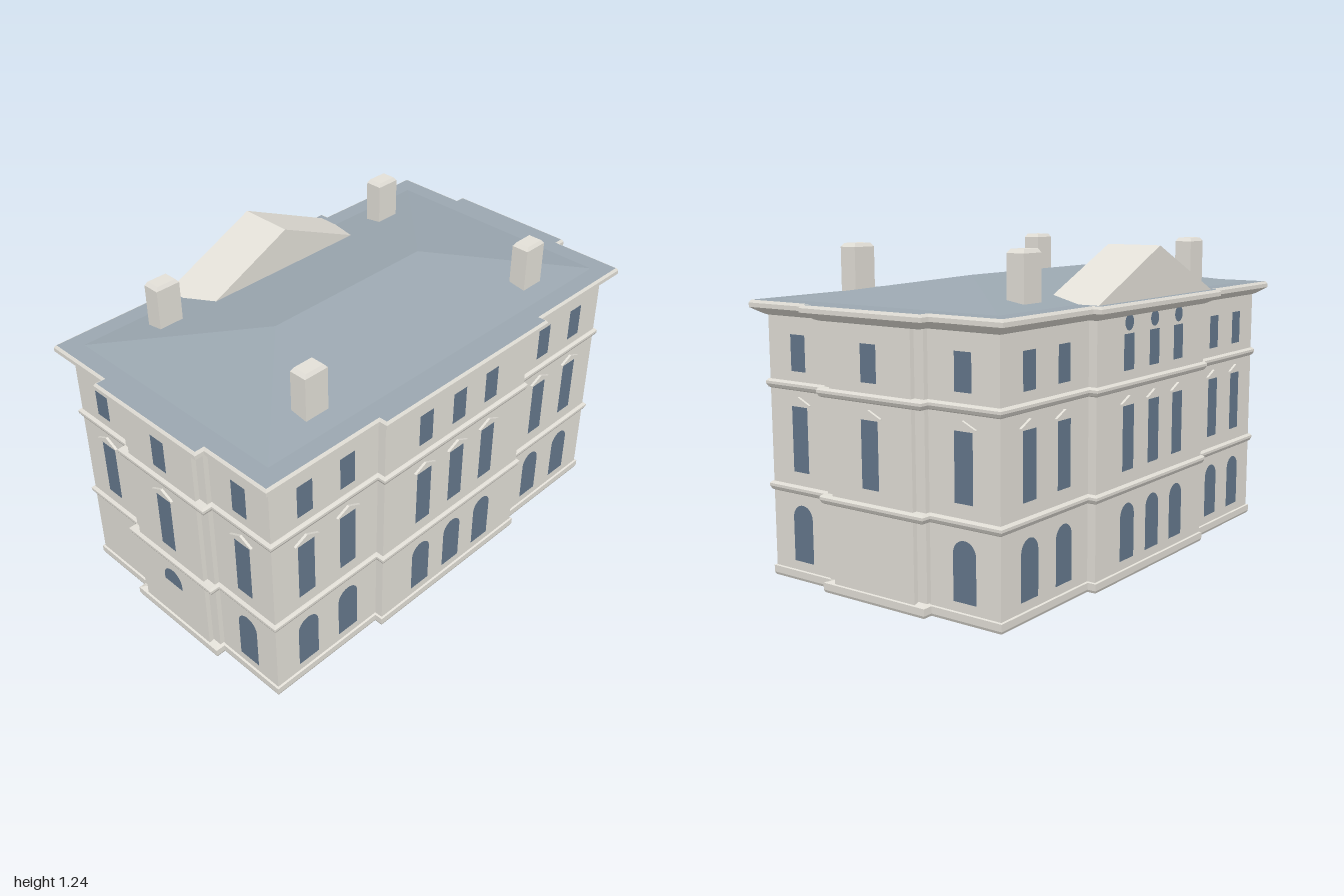
import * as THREE from 'three';

const mat = (name, color) => {
  const m = new THREE.MeshStandardMaterial({ color });
  m.name = name;
  return m;
};

// Footprint: a rectangle with a shallow projection on each side, grown by o
function plan(o, frontHalf = 0.23) {
  const X = 0.53 + o, Z = 0.912 + o, sx = 0.564 + o, sz = 0.398 + o, fx = frontHalf + o, fz = 0.951 + o;
  const q = [[fx, fz], [fx, Z], [X, Z], [X, sz], [sx, sz]];
  const flip = (a, b) => q.map(([x, z]) => [x * a, z * b]);
  return [...q, ...flip(1, -1).reverse(), ...flip(-1, -1), ...flip(-1, 1).reverse()];
}

// Sweep a profile of [offset, height] around the footprint
function sweep(profile, frontHalf) {
  const pos = [];
  for (let i = 0; i < profile.length - 1; i++) {
    const [o0, y0] = profile[i], [o1, y1] = profile[i + 1];
    const lo = plan(o0, frontHalf), up = plan(o1, frontHalf);
    lo.forEach((a, k) => {
      const j = (k + 1) % lo.length, b = lo[j], c = up[j], d = up[k];
      const A = [a[0], y0, a[1]], B = [b[0], y0, b[1]], C = [c[0], y1, c[1]], D = [d[0], y1, d[1]];
      pos.push(...A, ...B, ...C, ...A, ...C, ...D);
    });
  }
  return fromPositions(pos);
}

function fromPositions(pos) {
  const g = new THREE.BufferGeometry();
  g.setAttribute('position', new THREE.Float32BufferAttribute(pos, 3));
  g.computeVertexNormals();
  return g;
}

const polygon = pts => new THREE.Shape(pts.map(([x, y]) => new THREE.Vector2(x, y)));

function slab(o, y, up) {
  const s = polygon(plan(o).map(([x, z]) => [x, -z]));
  return new THREE.ShapeGeometry(s).rotateX(up ? -Math.PI / 2 : Math.PI / 2).translate(0, y, 0);
}

// Window outlines, centred on x = 0 at their true height
const rectShape = (w, y0, y1) => polygon([[-w, y0], [w, y0], [w, y1], [-w, y1]]);
function archShape(w, y0, spring) {
  const s = new THREE.Shape();
  s.moveTo(-w, y0);
  s.lineTo(w, y0);
  s.lineTo(w, spring);
  s.absarc(0, spring, w, 0, Math.PI, false);
  s.closePath();
  return s;
}

export function createModel() {
  const root = new THREE.Group();
  root.name = 'villa';
  const stone = mat('stone', 0xe3e0d8);
  const slate = mat('slate', 0x9ba7b0);
  const glass = mat('glass', 0x65788c);

  const add = (name, geo, material, parent = root) => {
    const m = new THREE.Mesh(geo, material);
    m.name = name;
    parent.add(m);
    return m;
  };

  // Walls, with a set-back strip beside the front and back projections
  add('walls', sweep([[0, 0.03], [0, 1.0]], 0.189), stone);
  add('cornerStrips', new THREE.BoxGeometry(0.46, 0.95, 1.864).translate(0, 0.52, 0), stone);

  // Hollow plinth ring around a raised floor
  add('plinth', sweep([
    [0, 0.04], [0, 0], [0.004, 0], [0.008, 0.01], [0.008, 0.036], [-0.03, 0.046],
  ]), stone);
  add('floor', slab(0, 0.038, false), stone);

  // Mouldings
  for (const y of [0.329, 0.716]) {
    add('stringCourse', sweep([
      [-0.03, y], [0, y], [0.006, y + 0.004], [0.012, y + 0.016],
      [0.012, y + 0.026], [0.005, y + 0.034], [-0.03, y + 0.035],
    ]), stone);
  }
  add('cornice', sweep([
    [-0.03, 0.985], [0, 0.985], [0.012, 0.99], [0.04, 1.008], [0.048, 1.014], [0.048, 1.03], [0.042, 1.04], [0.036, 1.04],
  ]), stone);

  // Roof deck and hipped roof
  add('roofDeck', slab(0.04, 1.0402, true), slate);
  const [hx, hz, rz, y0, y1] = [0.5, 0.88, 0.385, 1.04, 1.121];
  const a = [-hx, y0, hz], b = [hx, y0, hz], c = [hx, y0, -hz], d = [-hx, y0, -hz];
  const e = [0, y1, rz], f = [0, y1, -rz];
  add('hippedRoof', fromPositions([
    a, b, e, b, c, f, b, f, e, c, d, f, d, a, e, d, e, f,
  ].flat()), slate);

  // Gable standing on one long side
  const gable = polygon([[-0.43, 1.035], [0.43, 1.035], [0, 1.231]]);
  add('gable', new THREE.ExtrudeGeometry(gable, { depth: 0.225, bevelEnabled: false })
    .rotateY(Math.PI / 2).translate(-0.582, 0, 0), stone);

  // Chimneys with chamfered tops
  for (const x of [-0.388, 0.388]) for (const z of [-0.587, 0.587]) {
    const g = new THREE.Group();
    g.name = 'chimney';
    g.position.set(x, 0, z);
    add('stack', new THREE.BoxGeometry(0.072, 0.2, 0.104).translate(0, 1.123, 0), stone, g);
    const top = new THREE.CylinderGeometry(0.78, 1, 0.014, 4, 1).toNonIndexed();
    top.rotateY(Math.PI / 4).scale(0.036 * Math.SQRT2, 1, 0.052 * Math.SQRT2).translate(0, 1.23, 0);
    top.computeVertexNormals();
    add('chimneyTop', top, stone, g);
    root.add(g);
  }

  // Openings
  const shapes = {
    upper: rectShape(0.036, 0.787, 0.921),
    middle: rectShape(0.039, 0.414, 0.658),
    arch: archShape(0.049, 0.073, 0.24),
    lunette: archShape(0.052, 0.217, 0.238),
    round: new THREE.Shape().absarc(0, 0.962, 0.03, 0, Math.PI * 2, false),
  };
  const hood = polygon([[-0.056, 0.665], [0.056, 0.665], [0.056, 0.669], [0, 0.695], [-0.056, 0.669]]);

  // One bay: the listed windows and a hood on a wall at the given distance
  function bay(wall, u, dist, ...kinds) {
    const g = new THREE.Group();
    g.name = 'windowBay';
    g.position.set(u, 0, dist);
    for (const kind of ['middle', 'upper', ...kinds]) {
      add(kind + 'Window', new THREE.ShapeGeometry(shapes[kind], 16).translate(0, 0, 0.002), glass, g);
    }
    add('windowHood', new THREE.ExtrudeGeometry(hood, { depth: 0.01, bevelEnabled: false }), stone, g);
    wall.add(g);
  }
  const facade = (name, angle) => {
    const g = new THREE.Group();
    g.name = name;
    g.rotation.y = angle;
    root.add(g);
    return g;
  };

  const front = facade('frontWindows', 0);
  bay(front, -0.38, 0.912);
  bay(front, 0, 0.951, 'lunette');
  bay(front, 0.38, 0.912, 'arch');

  const back = facade('backWindows', Math.PI);
  bay(back, -0.38, 0.912, 'arch');
  bay(back, 0, 0.951);
  bay(back, 0.38, 0.912, 'arch');

  for (const s of [1, -1]) {
    const side = facade(s > 0 ? 'leftWindows' : 'rightWindows', s * Math.PI / 2);
    for (const u of [-0.755, -0.552, 0.552, 0.755]) bay(side, u, 0.53, 'arch');
    for (const u of [-0.184, 0, 0.184]) bay(side, u, 0.564, 'arch', ...(s > 0 ? [] : ['round']));
  }

  return root;
}
